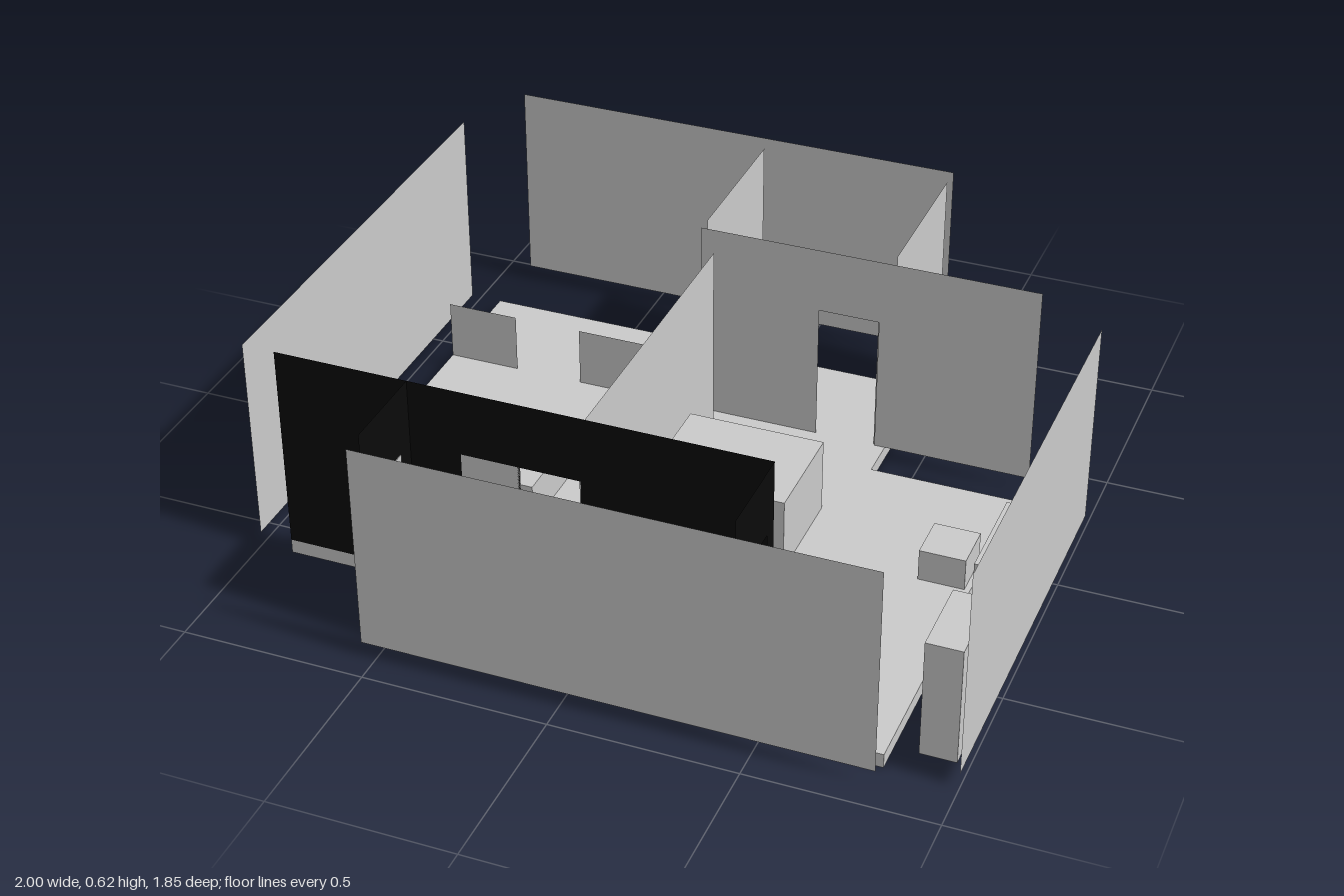
import * as THREE from 'three';

const FLOOR = 0.04, TOP = 0.62, DOOR_TOP = 0.435;

export function createModel() {
  const model = new THREE.Group();
  const grey = new THREE.MeshStandardMaterial({ color: 0xcccccc });
  const wallGrey = new THREE.MeshStandardMaterial({ color: 0xcccccc, side: THREE.DoubleSide });
  const wallBlack = new THREE.MeshStandardMaterial({ color: 0x0a0a0a, side: THREE.DoubleSide });

  function add(name, geometry, material, parent = model) {
    const mesh = new THREE.Mesh(geometry, material);
    mesh.name = name;
    parent.add(mesh);
    return mesh;
  }

  // Box from its extents
  function box(name, x0, x1, y0, y1, z0, z1, parent = model) {
    const mesh = add(name, new THREE.BoxGeometry(x1 - x0, y1 - y0, z1 - z0), grey, parent);
    mesh.position.set((x0 + x1) / 2, (y0 + y1) / 2, (z0 + z1) / 2);
    return mesh;
  }

  // Thin wall running from a to b along an axis, with doorways cut up from the floor
  function wall(name, axis, a, b, at, { doors = [], top = TOP, material = wallGrey } = {}) {
    const shape = new THREE.Shape().moveTo(a, FLOOR);
    for (const [d0, d1] of doors) {
      shape.lineTo(d0, FLOOR).lineTo(d0, DOOR_TOP).lineTo(d1, DOOR_TOP).lineTo(d1, FLOOR);
    }
    shape.lineTo(b, FLOOR).lineTo(b, top).lineTo(a, top);
    const mesh = add(name, new THREE.ShapeGeometry(shape), material);
    if (axis === 'z') {
      mesh.rotation.y = -Math.PI / 2;
      mesh.position.x = at;
    } else {
      mesh.position.z = at;
    }
  }

  // Door leaf from hinge to free edge, with a handle on both faces
  function door(name, hx, hz, ex, ez) {
    const group = new THREE.Group();
    group.name = name;
    const width = Math.hypot(ex - hx, ez - hz) + 0.01;
    box('doorLeaf', 0, width, FLOOR, DOOR_TOP, -0.002, 0.002, group);
    box('handleSpindle', width - 0.014, width - 0.008, 0.255, 0.261, -0.013, 0.013, group);
    for (const s of [-1, 1]) {
      const knob = add('doorKnob', new THREE.SphereGeometry(0.005, 10, 8), grey, group);
      knob.position.set(width - 0.011, 0.258, s * 0.011);
    }
    group.position.set(hx, 0, hz);
    group.rotation.y = Math.atan2(hz - ez, ex - hx);
    model.add(group);
  }

  // Floor slab with two notched corners
  const outline = [[-0.91, -0.71], [0.4, -0.71], [0.4, -0.27], [0.81, -0.27],
    [0.81, 0.855], [-0.54, 0.855], [-0.54, 0.595], [-0.91, 0.595]];
  const slab = new THREE.Shape(outline.map(([x, z]) => new THREE.Vector2(x, -z)));
  add('floorSlab', new THREE.ExtrudeGeometry(slab, { depth: FLOOR, bevelEnabled: false }), grey)
    .rotation.x = -Math.PI / 2;

  // Outer walls, set away from the floor
  wall('leftOuterWall', 'z', -0.27, 0.855, 0.998);
  wall('rightOuterWall', 'z', -0.71, 0.595, -1);
  wall('frontOuterWall', 'x', -0.54, 0.81, 0.92);
  wall('backOuterWall', 'x', -0.91, 0.4, -0.93);
  wall('backSideWall', 'z', -0.87, -0.43, 0.4);

  // Inner walls
  wall('backRoomDivider', 'z', -0.87, -0.43, -0.14);
  wall('bedroomBackWall', 'x', -0.14, 0.81, -0.385, { doors: [[0.2, 0.37]] });
  wall('lowWallRight', 'x', -0.91, -0.705, -0.385, { top: 0.21 });
  wall('lowWallLeft', 'x', -0.51, -0.14, -0.385, { top: 0.21 });
  wall('bedroomDivider', 'z', -0.27, 0.595, -0.06);

  // Dark hallway walls
  wall('hallWall', 'x', -0.91, 0.43, 0.595,
    { doors: [[-0.4, -0.25], [-0.24, -0.075]], material: wallBlack });
  wall('hallEndWall', 'z', 0.595, 0.855, 0.43, { doors: [[0.64, 0.805]], material: wallBlack });
  wall('entryWall', 'z', 0.595, 0.855, -0.54, { doors: [[0.65, 0.81]], material: wallBlack });

  // Doors
  door('entryDoor', -0.54, 0.81, -0.54, 0.66);
  door('hallDoor', -0.4, 0.593, -0.25, 0.593);
  door('livingRoomDoor', -0.077, 0.593, -0.065, 0.445);
  door('hallEndDoor', 0.432, 0.805, 0.575, 0.782);
  door('backRoomDoor', 0.368, -0.39, 0.379, -0.53);

  // Furniture
  box('bed', -0.04, 0.335, FLOOR, 0.25, -0.05, 0.25);
  for (const z of [-0.17, 0.26]) box('nightstand', -0.04, 0.03, FLOOR, 0.13, z, z + 0.1);
  box('wardrobe', -0.04, 0.37, FLOOR, 0.43, 0.5, 0.58);
  box('sofa', -0.51, -0.35, FLOOR, 0.155, -0.04, 0.295);
  box('stool', 0.67, 0.795, FLOOR, 0.13, 0.03, 0.16);
  box('desk', 0.835, 0.98, FLOOR, 0.18, -0.06, 0.23);
  box('tallCabinet', 0.885, 0.98, FLOOR, 0.37, 0.6, 0.82);

  return model;
}
